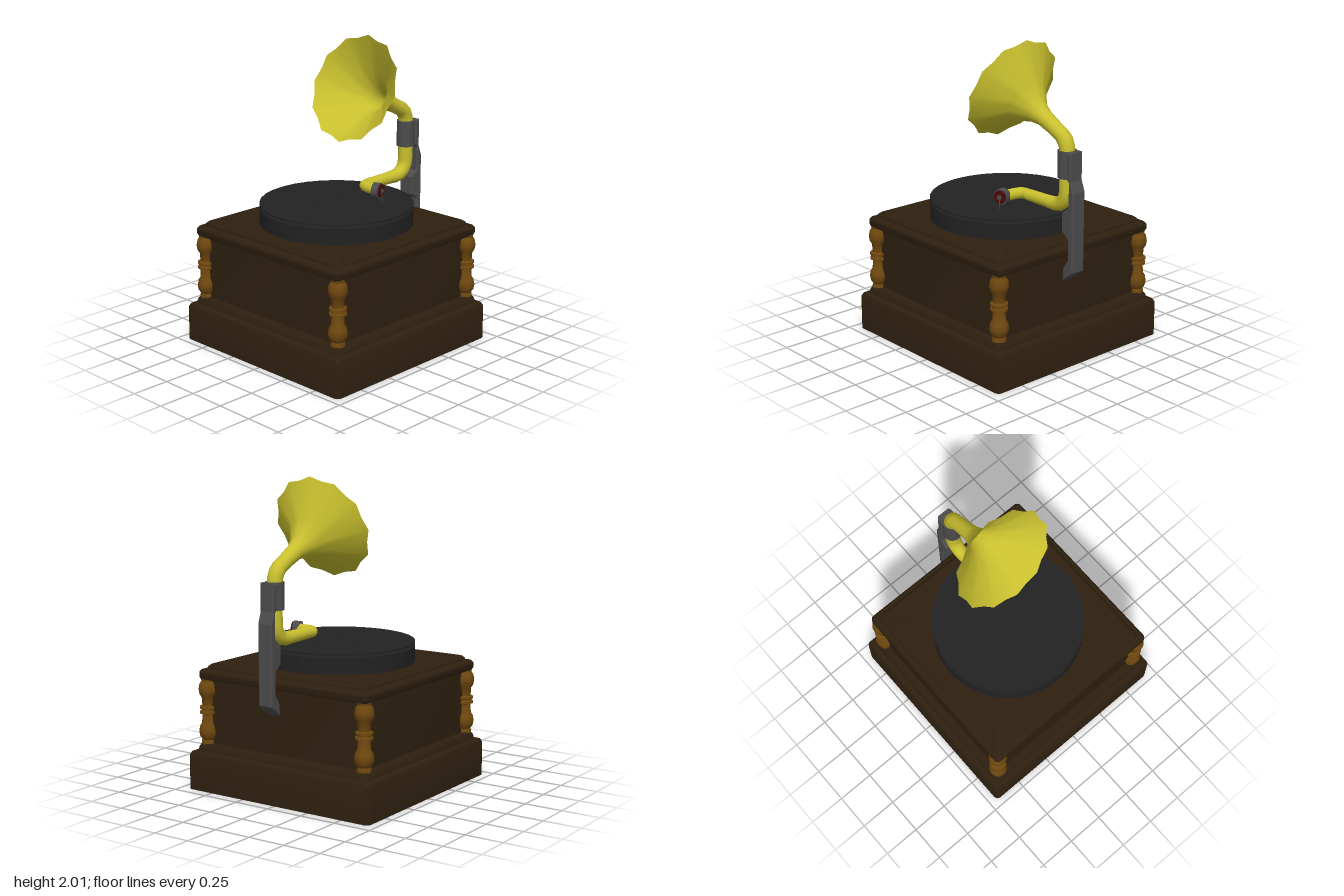
import * as THREE from 'three';
import { toCreasedNormals } from 'three/addons/utils/BufferGeometryUtils.js';

const mat = (color, double) => new THREE.MeshStandardMaterial(
  double ? { color, side: THREE.DoubleSide } : { color });
const wood = mat(0x2e2010), lightWood = mat(0x6e470f), black = mat(0x222222);
const metal = mat(0x4c4c4c), brass = mat(0xc8bf2e, true), red = mat(0x4a0c0c);

// Skin a list of closed rings that all have the same number of points.
function loft(rings) {
  const n = rings[0].length, index = [];
  for (let i = 0; i < rings.length - 1; i++) {
    for (let j = 0; j < n; j++) {
      const k = (j + 1) % n, a = i * n + j, c = i * n + k;
      index.push(a, a + n, c, a + n, c + n, c);
    }
  }
  const geo = new THREE.BufferGeometry().setFromPoints(rings.flat());
  geo.setIndex(index);
  geo.computeVertexNormals();
  return geo;
}

// Square outline with rounded corners at height y.
function squareRing(half, y, radius = 0.03, steps = 4) {
  const r = Math.min(radius, half), pts = [];
  for (let q = 0; q < 4; q++) {
    const mid = (q + 0.5) * Math.PI / 2;
    const cx = Math.sign(Math.cos(mid)) * (half - r), cz = Math.sign(Math.sin(mid)) * (half - r);
    for (let s = 0; s <= steps; s++) {
      const a = (q + s / steps) * Math.PI / 2;
      pts.push(new THREE.Vector3(cx + r * Math.cos(a), y, cz + r * Math.sin(a)));
    }
  }
  return pts;
}

// Round sweep in a plane of constant x; sections are [y, z, radius, scallop].
function sweep(x, sections, sides = 24) {
  const centres = sections.map(([y, z]) => new THREE.Vector3(x, y, z));
  const right = new THREE.Vector3(1, 0, 0);
  return loft(sections.map(([, , r, scallop = 0], i) => {
    const from = centres[Math.max(i - 1, 0)], to = centres[Math.min(i + 1, centres.length - 1)];
    const tangent = to.clone().sub(from).normalize();
    const up = new THREE.Vector3().crossVectors(right, tangent);
    return Array.from({ length: sides }, (_, j) => {
      const a = j / sides * Math.PI * 2, rr = r * (j % 2 ? 1 - scallop : 1);
      return centres[i].clone().addScaledVector(right, rr * Math.cos(a))
        .addScaledVector(up, -rr * Math.sin(a));
    });
  }));
}

const lathe = (profile, sides) => toCreasedNormals(
  new THREE.LatheGeometry(profile.map(([r, y]) => new THREE.Vector2(r, y)), sides), 0.7);

export function createModel() {
  const model = new THREE.Group();
  const add = (name, geo, material, x = 0, y = 0, z = 0, parent = model) => {
    const mesh = new THREE.Mesh(geo, material);
    mesh.name = name;
    mesh.position.set(x, y, z);
    parent.add(mesh);
    return mesh;
  };
  const cz = 0.01, hx = 0.05; // cabinet centre in z, horn centre in x

  // Cabinet: plinth, body and moulded lid
  const cabinet = [
    [0, 0], [0.695, 0], [0.695, 0.225], [0.685, 0.245], [0.655, 0.253], [0.65, 0.28],
    [0.637, 0.3], [0.6, 0.3], [0.6, 0.72], [0.64, 0.72], [0.646, 0.735], [0.646, 0.765],
    [0.635, 0.78], [0.608, 0.785], [0.604, 0.8], [0.59, 0.812], [0, 0.812]];
  add('cabinet', toCreasedNormals(loft(cabinet.map(([h, y]) => squareRing(h, y))), 0.6),
    wood, -0.003, 0, cz);

  // Turned corner columns
  const column = [
    [0.045, 0.295], [0.045, 0.31], [0.04, 0.325], [0.055, 0.345], [0.061, 0.375],
    [0.055, 0.41], [0.042, 0.43], [0.038, 0.49], [0.055, 0.495], [0.055, 0.508],
    [0.044, 0.512], [0.044, 0.522], [0.055, 0.526], [0.055, 0.54], [0.038, 0.545],
    [0.042, 0.6], [0.055, 0.618], [0.061, 0.65], [0.055, 0.685], [0.042, 0.705], [0.045, 0.725]];
  const columnGeo = lathe(column, 20);
  for (const sx of [-1, 1]) for (const sz of [-1, 1]) {
    add('cornerColumn', columnGeo, lightWood, -0.003 + sx * 0.6, 0, cz + sz * 0.597);
  }

  // Turntable, record and spindle
  add('turntable', lathe([[0, 0.8], [0.497, 0.8], [0.497, 0.918], [0, 0.918]], 32), black, 0, 0, cz);
  add('record', lathe([[0, 0.932], [0.497, 0.932], [0.497, 0.944], [0, 0.944]], 32), black, 0, 0, cz);
  add('recordLabel', new THREE.CylinderGeometry(0.17, 0.17, 0.002, 32), black, 0, 0.945, cz);
  add('spindle', new THREE.CylinderGeometry(0.006, 0.006, 0.06, 10), black, 0, 0.94, cz);

  // Horn with scalloped rim, running down through the neck
  add('horn', sweep(hx, [
    [1.2, -0.595, 0.048], [1.36, -0.595, 0.048], [1.41, -0.59, 0.049], [1.445, -0.574, 0.05],
    [1.47, -0.548, 0.049], [1.505, -0.48, 0.049], [1.549, -0.39, 0.055], [1.576, -0.326, 0.077],
    [1.62, -0.24, 0.146, 0.02], [1.68, -0.095, 0.352, 0.06]]), brass);

  // Lower tube and elbow, then the tone arm turning to the left
  add('elbowTube', sweep(hx, [
    [1.3, -0.595, 0.048], [1.13, -0.595, 0.048], [1.09, -0.588, 0.048], [1.055, -0.567, 0.047],
    [1.032, -0.535, 0.046], [1.022, -0.49, 0.044], [1.022, -0.42, 0.04], [1.022, -0.25, 0.037]]), brass);
  const armPath = new THREE.CatmullRomCurve3([
    [hx, -0.26], [hx, -0.22], [hx + 0.012, -0.192], [hx + 0.045, -0.18], [0.19, -0.172],
  ].map(([x, z]) => new THREE.Vector3(x, 1.022, z)));
  add('toneArm', new THREE.TubeGeometry(armPath, 20, 0.036, 16), brass);

  // Sound box with its red diaphragm and needle
  const soundBox = new THREE.Group();
  soundBox.name = 'soundBox';
  soundBox.position.set(0.195, 1.022, -0.165);
  soundBox.rotation.y = 0.3;
  model.add(soundBox);
  const disc = (r, w) => new THREE.CylinderGeometry(r, r, w, 24).rotateZ(-Math.PI / 2);
  add('soundBoxHousing', disc(0.05, 0.045), metal, 0, 0, 0, soundBox);
  add('diaphragm', disc(0.043, 0.012), red, 0.027, 0, 0, soundBox);
  add('diaphragmBoss', disc(0.015, 0.01), metal, 0.036, 0, 0, soundBox);
  add('needle', new THREE.CylinderGeometry(0.004, 0.002, 0.08, 8), metal, 0.035, -0.04, 0, soundBox);

  // Clamp around the neck
  add('clamp', lathe([[0.045, 1.215], [0.059, 1.215], [0.059, 1.388], [0.045, 1.388]], 24),
    metal, hx, 0, -0.595);

  // Bracket down the back, drawn as a side outline of [z, y]
  const plate = (outline, width, bevel) => {
    const shape = new THREE.Shape(outline.map(([z, y]) => new THREE.Vector2(z, y)));
    const depth = width - 2 * bevel;
    const geo = new THREE.ExtrudeGeometry(shape, {
      depth, bevelEnabled: true, bevelThickness: bevel, bevelSize: bevel,
      bevelOffset: -bevel, bevelSegments: 1 });
    return geo.translate(0, 0, -depth / 2).rotateY(-Math.PI / 2);
  };
  add('bracket', plate([
    [-0.635, 1.388], [-0.678, 1.388], [-0.678, 1.21], [-0.703, 1.14], [-0.703, 0.63],
    [-0.69, 0.615], [-0.615, 0.557], [-0.615, 0.64], [-0.655, 0.7], [-0.655, 1.2], [-0.635, 1.22],
  ], 0.105, 0.01), metal, hx);
  add('bracketRest', plate([
    [-0.67, 1.05], [-0.67, 0.83], [-0.655, 0.845], [-0.606, 0.88], [-0.606, 1.0], [-0.655, 1.04],
  ], 0.105, 0.005), metal, hx);

  return model;
}
